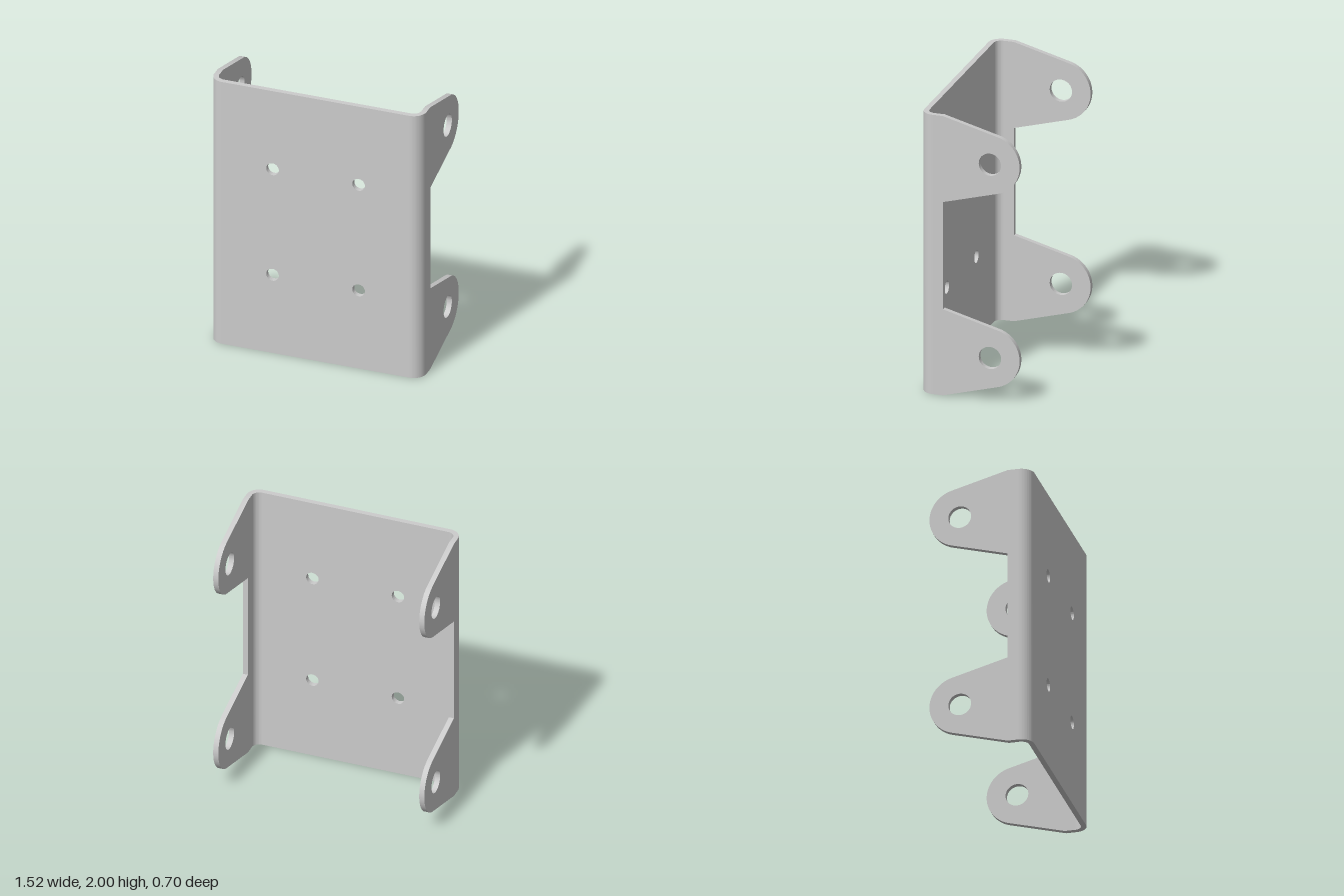
import * as THREE from 'three';
import { toCreasedNormals } from 'three/addons/utils/BufferGeometryUtils.js';

const HALF_W = 0.76, FRONT = 0.352, HEIGHT = 2, T = 0.037, BEND = 0.09;
const BEND_X = HALF_W - BEND, BEND_Z = FRONT - BEND;

export function createModel() {
  const group = new THREE.Group();
  group.name = 'mountingBracket';
  const material = new THREE.MeshStandardMaterial({ color: 0xcccccc });

  const extrude = (shape, depth) => toCreasedNormals(
    new THREE.ExtrudeGeometry(shape, { depth, bevelEnabled: false, curveSegments: 32 }), 0.5);
  const add = (name, geometry) => {
    const mesh = new THREE.Mesh(geometry, material);
    mesh.name = name;
    group.add(mesh);
  };
  const punch = (shape, x, y, r) =>
    shape.holes.push(new THREE.Path().absarc(x, y, r, 0, Math.PI * 2, true));

  // Front plate with four screw holes
  const plate = new THREE.Shape()
    .moveTo(-BEND_X, 0).lineTo(BEND_X, 0).lineTo(BEND_X, HEIGHT).lineTo(-BEND_X, HEIGHT).closePath();
  for (const x of [-0.308, 0.308]) for (const y of [0.597, 1.403]) punch(plate, x, y, 0.045);
  add('frontPlate', extrude(plate, T).translate(0, 0, FRONT - T));

  // Side flange outline, drawn with u = -z: a strip with two rounded, tapered ears
  const earU = 0.142, earR = 0.21, rootU = -0.19, tilt = 1.284;
  const flange = new THREE.Shape().moveTo(-BEND_Z, 0).lineTo(rootU, 0);
  for (const y of [0.308, HEIGHT - 0.308]) {
    flange.lineTo(rootU, y - 0.308);
    flange.absarc(earU, y, earR, -tilt, tilt, false);
    flange.lineTo(rootU, y + 0.308);
    punch(flange, earU, y, 0.079);
  }
  flange.lineTo(-BEND_Z, HEIGHT).closePath();

  for (const [side, s] of [['left', 1], ['right', -1]]) {
    add(side + 'Flange', extrude(flange, T).rotateY(Math.PI / 2)
      .translate(s > 0 ? HALF_W - T : -HALF_W, 0, 0));

    // Quarter-round bend joining plate and flange
    const a = s > 0 ? -Math.PI / 2 : Math.PI, b = a + Math.PI / 2;
    const bend = new THREE.Shape();
    bend.absarc(s * BEND_X, -BEND_Z, BEND, a, b, false);
    bend.absarc(s * BEND_X, -BEND_Z, BEND - T, b, a, true);
    bend.closePath();
    add(side + 'Bend', extrude(bend, HEIGHT).rotateX(-Math.PI / 2));
  }
  return group;
}
